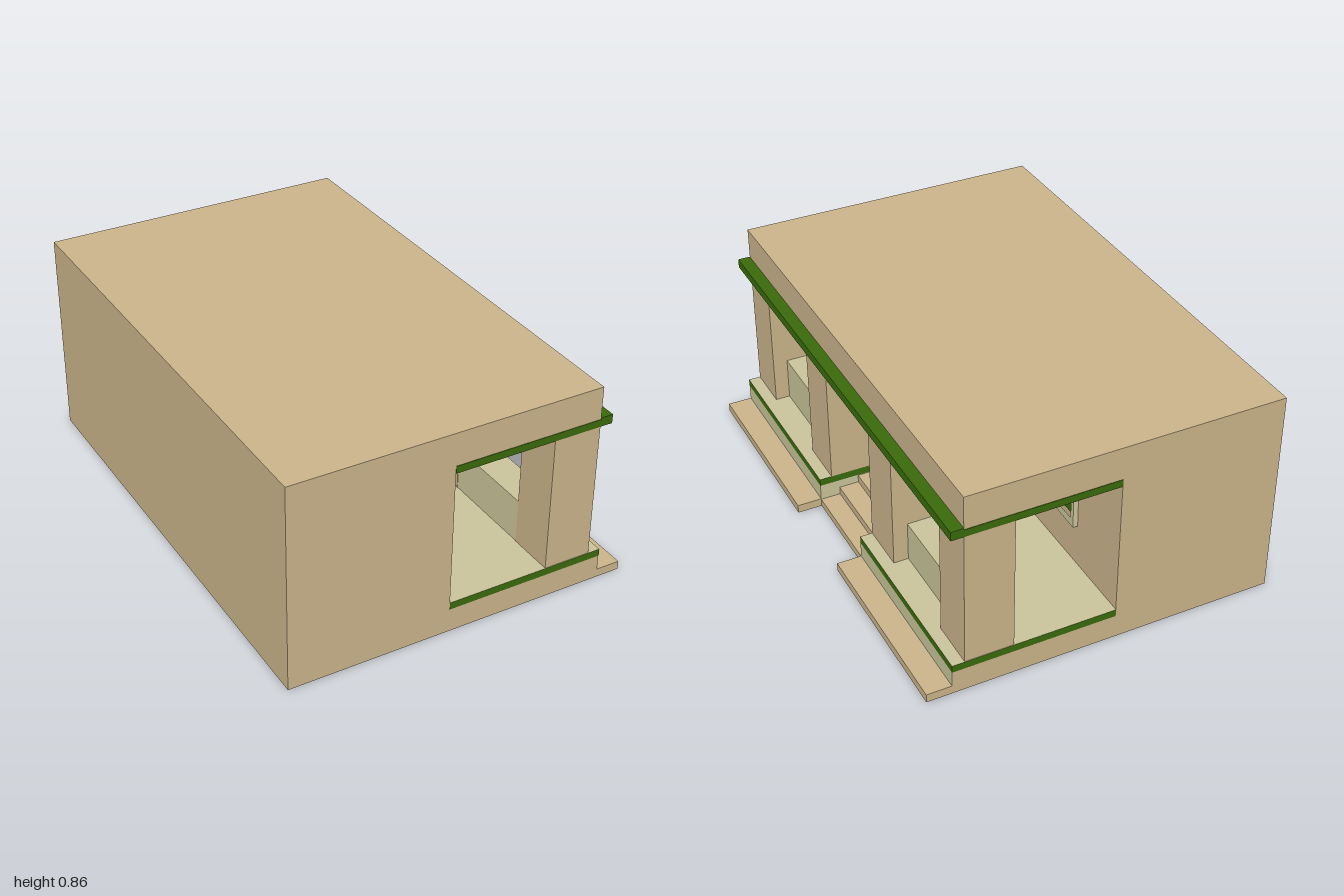
import * as THREE from 'three';

const material = (name, color) => {
  const m = new THREE.MeshStandardMaterial({ color });
  m.name = name;
  return m;
};

export function createModel() {
  const group = new THREE.Group();
  const tan = material('tan plaster', 0xcab48a);
  const cream = material('pale cream', 0xc9c49a);
  const green = material('dark green', 0x3a6a0b);

  const add = (name, geometry, mat) => {
    const mesh = new THREE.Mesh(geometry, mat);
    mesh.name = name;
    group.add(mesh);
    return mesh;
  };
  // Box given by its limits on each axis
  const block = (name, mat, [x0, x1], [y0, y1], [z0, z1]) => {
    const mesh = add(name, new THREE.BoxGeometry(x1 - x0, y1 - y0, z1 - z0), mat);
    mesh.position.set((x0 + x1) / 2, (y0 + y1) / 2, (z0 + z1) / 2);
    return mesh;
  };

  const wallX = -0.05, porchX = 0.61, roofX = 0.56, pillarX = 0.365;
  const floorY = 0.13, trimY = 0.1, ceilingY = 0.69, topY = 0.855, half = 0.998;

  // House and overhanging roof in one profile, running along z
  const profile = new THREE.Shape([
    [-0.71, 0], [wallX, 0], [wallX, ceilingY], [roofX, ceilingY], [roofX, topY], [-0.71, topY],
  ].map(([x, y]) => new THREE.Vector2(x, y)));
  const house = new THREE.ExtrudeGeometry(profile, { depth: 2 * half, bevelEnabled: false });
  house.translate(0, 0, -half);
  add('houseAndRoof', house, tan);

  // Porch base with a notch for the steps; faces ordered +x -x +y -y +z -z
  block('porchCentre', [tan, tan, cream, tan, tan, tan], [wallX, pillarX], [0, floorY], [-0.2, 0.2]);
  for (const s of [1, -1]) {
    const side = s > 0 ? 'Left' : 'Right';
    const span = (a, b) => (s > 0 ? [a, b] : [-b, -a]);
    const ends = (outer, inner) => (s > 0 ? [outer, inner] : [inner, outer]);
    block('porchBase' + side, [cream, tan, tan, tan, ...ends(tan, cream)],
      [wallX, porchX], [0, trimY], span(0.2, half));
    block('porchFloor' + side, [green, tan, cream, green, ...ends(green, green)],
      [wallX, porchX], [trimY, floorY], span(0.2, 1));
    block('curb' + side, tan, [porchX, 0.71], [0, 0.035], span(0.2, half));

    // Flush trim over the side opening
    block('roofSideTrim' + side, green, [wallX, roofX], [ceilingY, 0.72], span(half - 0.004, 1));

    // Square pillars and the bench between them
    block('outerPillar' + side, tan, [pillarX, roofX], [floorY, ceilingY], span(0.805, half));
    block('innerPillar' + side, tan, [pillarX, roofX], [floorY, ceilingY], span(0.2, 0.4));
    block('bench' + side, cream, [pillarX + 0.002, 0.5], [floorY, s > 0 ? 0.31 : 0.295], span(0.4, 0.805));
  }
  block('roofFrontTrim', green, [roofX, porchX], [ceilingY, 0.727], [-1, 1]);

  // Three steps rising into the notch
  const tread = (porchX - pillarX) / 3;
  for (let i = 0; i < 3; i++) {
    const x = porchX - tread * i;
    block('step' + (i + 1), tan, [x - tread, x], [0, 0.0325 * (i + 1)], [-0.2, 0.2]);
  }

  // Slightly uneven plaster frame with an opening, on the porch wall.
  // Corners are [z, y], turned so that the shape faces +x.
  const toPoints = (corners) => corners.map(([z, y]) => new THREE.Vector2(-z, y));
  const opening = (name, outer, inner, depth) => {
    const shape = new THREE.Shape(toPoints(outer));
    shape.holes.push(new THREE.Path(toPoints(inner)));
    const frame = new THREE.ExtrudeGeometry(shape, { depth, bevelEnabled: false });
    frame.rotateY(Math.PI / 2).translate(wallX, 0, 0);
    add(name + 'Frame', frame, cream);
    const panel = new THREE.ShapeGeometry(new THREE.Shape(toPoints(inner)));
    panel.rotateY(Math.PI / 2).translate(wallX + 0.004, 0, 0);
    add(name + 'Panel', panel, green);
  };

  opening('door',
    [[0.16, 0.13], [0.16, 0.575], [0.15, 0.583], [-0.135, 0.588], [-0.152, 0.575], [-0.145, 0.35], [-0.15, 0.13]],
    [[0.11, 0.14], [0.11, 0.55], [-0.095, 0.555], [-0.095, 0.14]], 0.035);
  opening('leftWindow',
    [[0.735, 0.29], [0.73, 0.51], [0.715, 0.522], [0.5, 0.515], [0.487, 0.505], [0.49, 0.3], [0.505, 0.29]],
    [[0.715, 0.33], [0.715, 0.49], [0.7, 0.5], [0.515, 0.5], [0.508, 0.49], [0.508, 0.325], [0.7, 0.32]], 0.02);
  opening('rightWindow',
    [[-0.48, 0.315], [-0.48, 0.505], [-0.49, 0.513], [-0.69, 0.517], [-0.703, 0.505], [-0.705, 0.305], [-0.5, 0.31]],
    [[-0.51, 0.345], [-0.51, 0.485], [-0.52, 0.495], [-0.675, 0.495], [-0.685, 0.485], [-0.685, 0.34], [-0.52, 0.338]], 0.02);

  return group;
}
